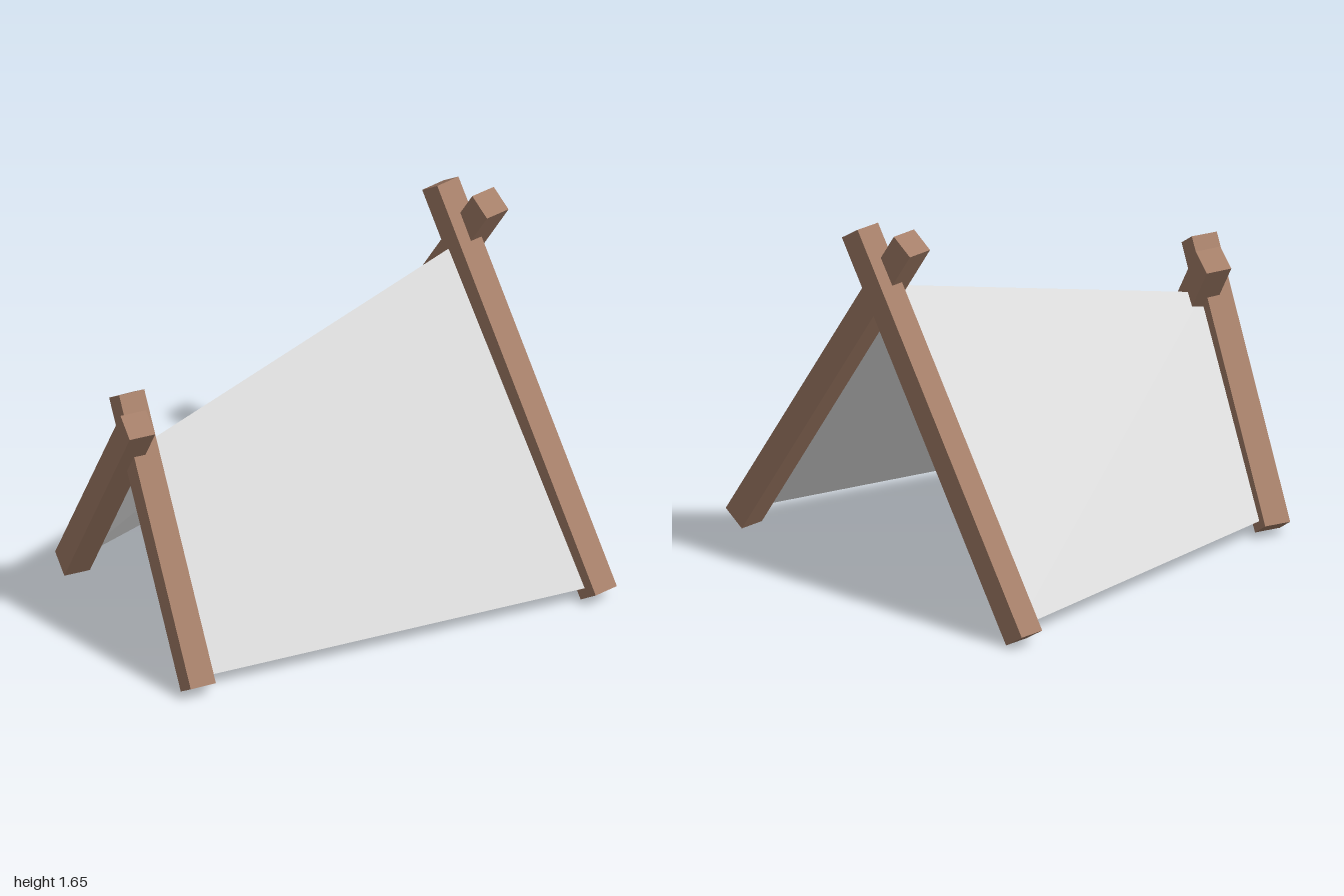
import * as THREE from 'three';

const POLE = 0.12; // square pole thickness

// Square pole between the centres of its two end faces
function pole(name, foot, tip, material) {
  const a = new THREE.Vector3(...foot);
  const b = new THREE.Vector3(...tip);
  const mesh = new THREE.Mesh(new THREE.BoxGeometry(POLE, POLE, a.distanceTo(b)), material);
  mesh.position.copy(a).add(b).multiplyScalar(0.5);
  mesh.lookAt(b);
  mesh.name = name;
  return mesh;
}

// Closed loft between two cross-sections with the same number of points
function loft(left, right) {
  const pos = [];
  const quad = (a, b, c, d) => pos.push(...a, ...b, ...c, ...a, ...c, ...d);
  const n = left.length;
  for (let i = 0; i < n; i++) {
    const j = (i + 1) % n;
    quad(left[i], right[i], right[j], left[j]);
  }
  // End edges: one strip for each slope
  quad(left[0], left[1], left[4], left[5]);
  quad(left[1], left[2], left[3], left[4]);
  quad(right[5], right[4], right[1], right[0]);
  quad(right[4], right[3], right[2], right[1]);
  const geometry = new THREE.BufferGeometry();
  geometry.setAttribute('position', new THREE.Float32BufferAttribute(pos, 3));
  geometry.computeVertexNormals();
  return geometry;
}

// Inverted V of cloth: front hem, ridge, back hem, then back along the inside
function clothSection(front, ridge, back) {
  const dz = 0.014, dy = 0.022;
  return [
    front, ridge, back,
    [back[0], back[1], back[2] + dz],
    [ridge[0], ridge[1] - dy, ridge[2]],
    [front[0], front[1], front[2] - dz],
  ];
}

export function createModel() {
  const wood = new THREE.MeshStandardMaterial({ color: 0xa57f69 });
  wood.name = 'wood';
  const canvas = new THREE.MeshStandardMaterial({ color: 0xdcdcdc, side: THREE.DoubleSide });
  canvas.name = 'canvas';

  const tent = new THREE.Group();
  tent.name = 'tent';

  // Crossed poles at the tall end
  const tall = new THREE.Group();
  tall.name = 'tallFrame';
  tall.add(
    pole('tallFrontPole', [0.932, 0.034, 0.912], [0.818, 1.617, -0.13], wood),
    pole('tallBackPole', [0.813, 0.034, -0.918], [0.905, 1.617, 0.125], wood),
  );

  // Crossed poles at the low end
  const low = new THREE.Group();
  low.name = 'lowFrame';
  low.add(
    pole('lowFrontPole', [-0.932, 0.034, 0.58], [-0.82, 1.122, -0.13], wood),
    pole('lowBackPole', [-0.79, 0.034, -0.587], [-0.928, 1.122, 0.113], wood),
  );

  // Cloth draped between the pole centre lines
  const cloth = new THREE.Mesh(
    loft(
      clothSection([-0.928, 0.07, 0.561], [-0.865, 0.917, 0], [-0.795, 0.07, -0.555]),
      clothSection([0.93, 0.07, 0.907], [0.86, 1.392, 0], [0.815, 0.07, -0.882]),
    ),
    canvas,
  );
  cloth.name = 'cloth';

  tent.add(tall, low, cloth);
  return tent;
}
